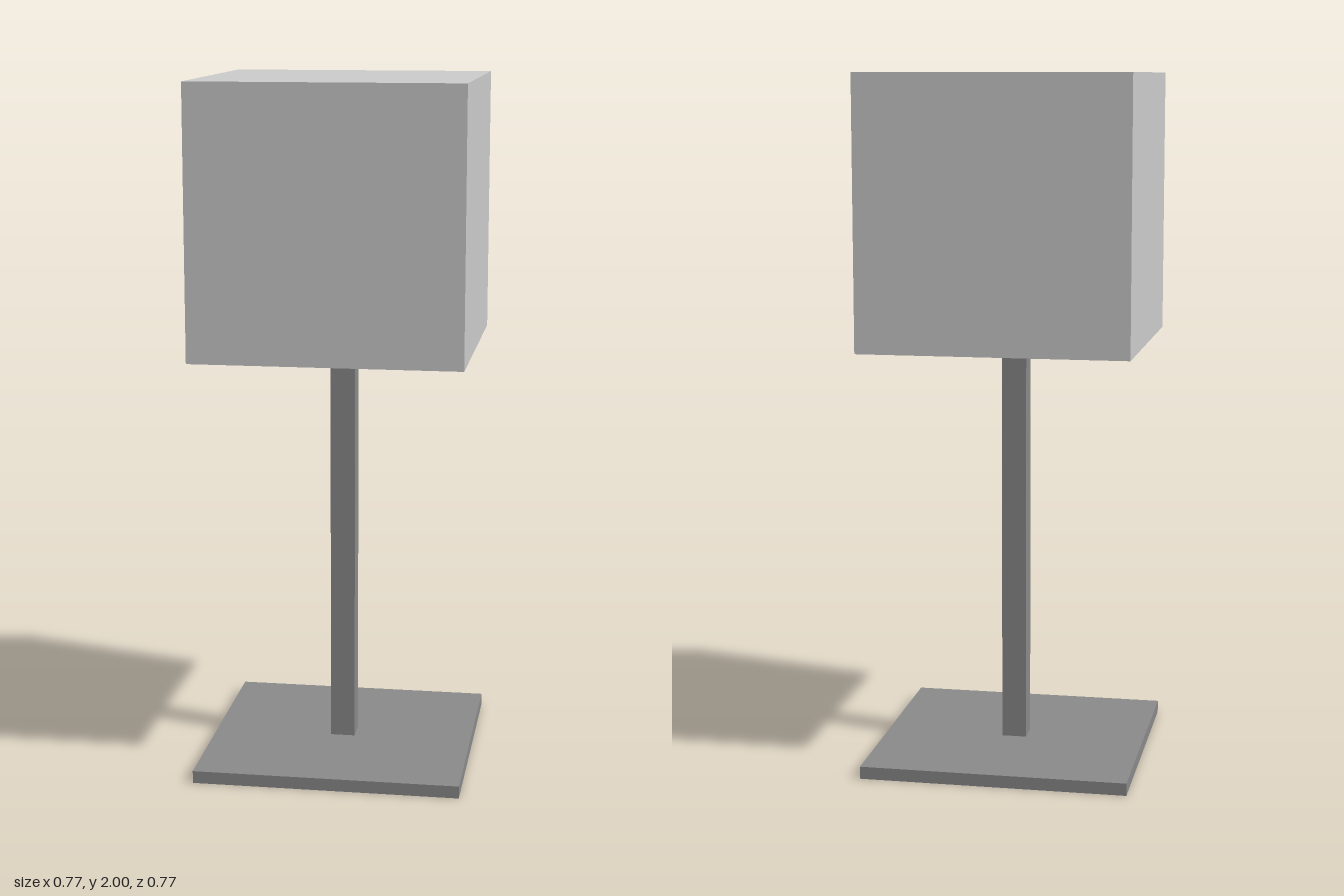
import * as THREE from 'three';

const SIZE = 0.77;        // side of shade and base
const WALL = 0.027;       // shade wall thickness
const SHADE_BOTTOM = 1.23;
const HEIGHT = 2;
const BASE_HEIGHT = 0.036;
const POST = 0.072;       // side of the square post

function square(Type, side) {
  const h = side / 2;
  const path = new Type();
  path.moveTo(-h, -h);
  path.lineTo(h, -h);
  path.lineTo(h, h);
  path.lineTo(-h, h);
  path.closePath();
  return path;
}

// Upright square prism standing at height y, optionally hollow
function prism(name, material, side, y, height, hole) {
  const shape = square(THREE.Shape, side);
  if (hole) shape.holes.push(square(THREE.Path, hole));
  const geometry = new THREE.ExtrudeGeometry(shape, { depth: height, bevelEnabled: false });
  geometry.rotateX(-Math.PI / 2);
  const mesh = new THREE.Mesh(geometry, material);
  mesh.name = name;
  mesh.position.y = y;
  return mesh;
}

export function createModel() {
  const light = new THREE.MeshStandardMaterial({ color: 0xcccccc });
  const dark = new THREE.MeshStandardMaterial({ color: 0x8a8a8a });

  const lamp = new THREE.Group();
  lamp.name = 'tableLamp';

  // Base plate and post, which runs up to the shade's ceiling
  lamp.add(prism('base', dark, SIZE, 0, BASE_HEIGHT));
  lamp.add(prism('post', dark, POST, BASE_HEIGHT, HEIGHT - WALL - BASE_HEIGHT));

  // Cube shade, open underneath: a hollow wall ring under a full-size lid
  const shade = new THREE.Group();
  shade.name = 'shade';
  const wallHeight = HEIGHT - WALL - SHADE_BOTTOM;
  shade.add(prism('shadeWalls', light, SIZE, SHADE_BOTTOM, wallHeight, SIZE - 2 * WALL));
  shade.add(prism('shadeTop', light, SIZE, HEIGHT - WALL, WALL));
  lamp.add(shade);

  return lamp;
}
